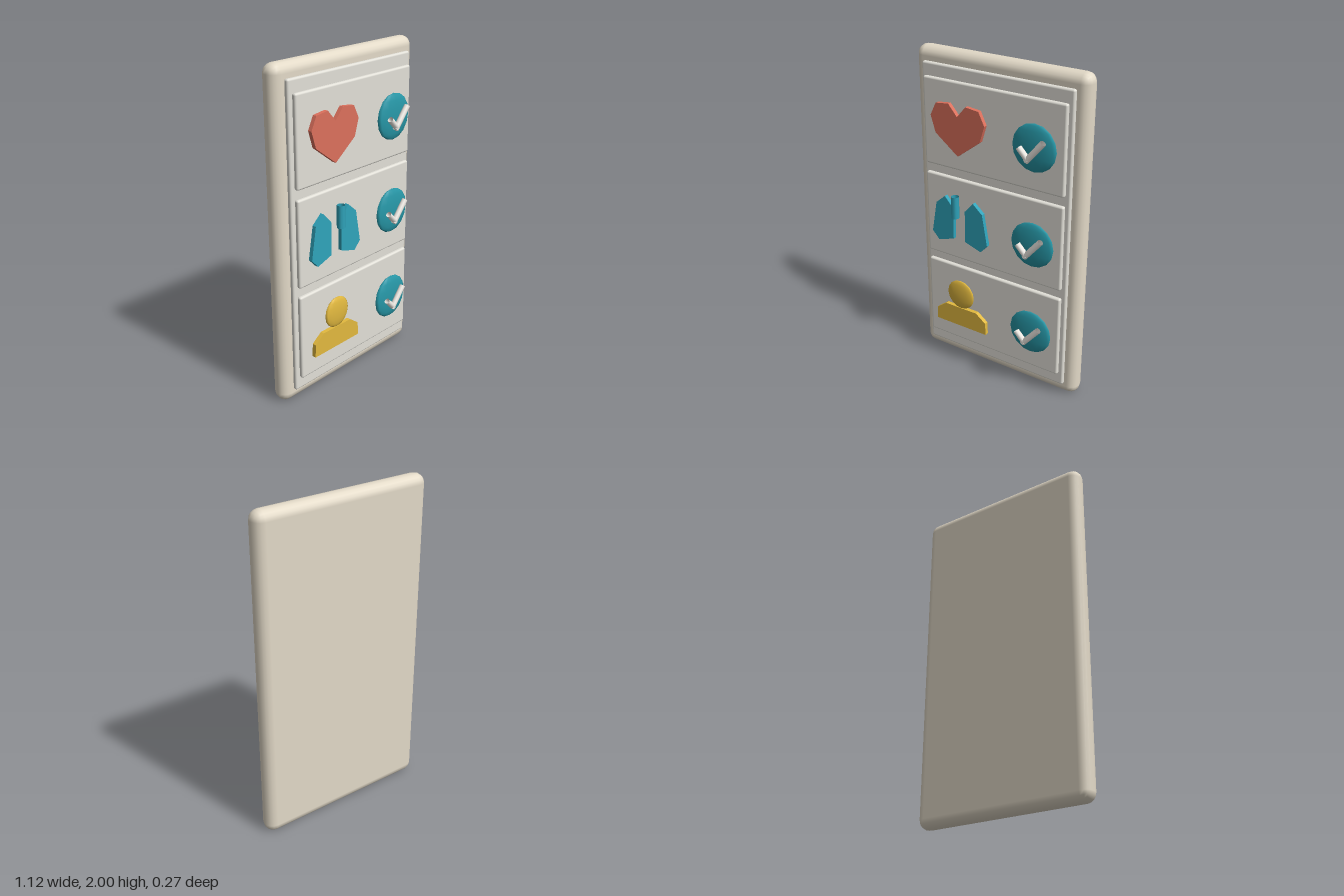
import * as THREE from 'three';
import { RoundedBoxGeometry } from 'three/addons/geometries/RoundedBoxGeometry.js';

const mat = (color, extra = {}) => new THREE.MeshStandardMaterial({ color, ...extra });
const ICON_X = -0.207;

export function createModel() {
  const model = new THREE.Group();
  const frameMat = mat(0xe3dac8), panelMat = mat(0xe2e0d8);
  const red = mat(0xdc705c), blue = mat(0x2fa4bb), yellow = mat(0xe2b93f);
  const teal = mat(0x2798a8);
  const blueTube = mat(0x2fa4bb, { side: THREE.DoubleSide });
  const white = mat(0xeeeae4, { side: THREE.DoubleSide });

  const add = (parent, name, geometry, material, x = 0, y = 0, z = 0) => {
    const mesh = new THREE.Mesh(geometry, material);
    mesh.name = name;
    mesh.position.set(x, y, z);
    parent.add(mesh);
    return mesh;
  };
  // Rounded slab between two depths
  const slab = (name, w, h, y, z0, z1, r, material) =>
    add(model, name, new RoundedBoxGeometry(w, h, z1 - z0, 2, r), material, 0, y, (z0 + z1) / 2);
  // Flat plate cut from an outline
  const plate = (parent, name, points, material, x = ICON_X) => {
    const shape = new THREE.Shape(points.map(([px, py]) => new THREE.Vector2(px, py)));
    const geometry = new THREE.ExtrudeGeometry(shape, { depth: 0.025, bevelEnabled: false });
    return add(parent, name, geometry, material, x, 0, 0.05);
  };
  // Outline mirrored across x = 0
  const mirrored = (half) => [...half, ...half.filter(p => p[0] > 0).reverse().map(([x, y]) => [-x, y])];
  // Flattened ball, thin along z
  const disc = (parent, name, r, depth, material, x, y, z) =>
    add(parent, name, new THREE.SphereGeometry(r, 12, 8), material, x, y, z).scale.z = depth / r;
  // Open straight tube
  const tube = (parent, name, a, b, r, material) => add(parent, name,
    new THREE.TubeGeometry(new THREE.LineCurve3(new THREE.Vector3(...a), new THREE.Vector3(...b)), 1, r, 8), material);

  // Body and raised front panel
  slab('body', 1.12, 2, 1, -0.132, -0.015, 0.057, frameMat);
  slab('frontPanel', 0.98, 1.84, 1, -0.018, 0.012, 0.012, panelMat);

  // Three cards, each with a check badge
  [1.58, 1.0, 0.42].forEach((y, i) => {
    slab('card' + (i + 1), 0.93, 0.525, y + 0.004, 0.01, 0.04, 0.012, panelMat);
    const badge = new THREE.Group();
    badge.name = 'checkBadge' + (i + 1);
    badge.position.set(0.288, y, 0);
    disc(badge, 'badgeDisc', 0.138, 0.025, teal, 0, 0, 0.063);
    tube(badge, 'checkShortArm', [-0.073, 0.003, 0.103], [-0.011, -0.061, 0.103], 0.018, white);
    tube(badge, 'checkLongArm', [-0.026, -0.066, 0.103], [0.077, 0.056, 0.103], 0.018, white);
    model.add(badge);
  });

  // Heart icon
  plate(model, 'heart', mirrored([
    [0, 1.425], [0.152, 1.54], [0.183, 1.64], [0.145, 1.717], [0.058, 1.727], [0, 1.66],
  ]), red);

  // Lungs icon
  const lungs = new THREE.Group();
  lungs.name = 'lungs';
  const lobe = [[0.042, 0.89], [0.15, 0.855], [0.197, 0.905], [0.163, 1.1], [0.1, 1.155], [0.042, 1.09]];
  plate(lungs, 'leftLung', lobe, blue);
  plate(lungs, 'rightLung', lobe.map(([x, y]) => [-x, y]), blue);
  tube(lungs, 'windpipe', [ICON_X, 1.055, 0.11], [ICON_X, 1.19, 0.11], 0.024, blueTube);
  model.add(lungs);

  // Person icon
  const person = new THREE.Group();
  person.name = 'person';
  plate(person, 'shoulders', mirrored([[0.184, 0.285], [0.18, 0.365], [0.113, 0.415]]), yellow);
  disc(person, 'head', 0.096, 0.018, yellow, ICON_X, 0.512, 0.072);
  model.add(person);

  return model;
}
